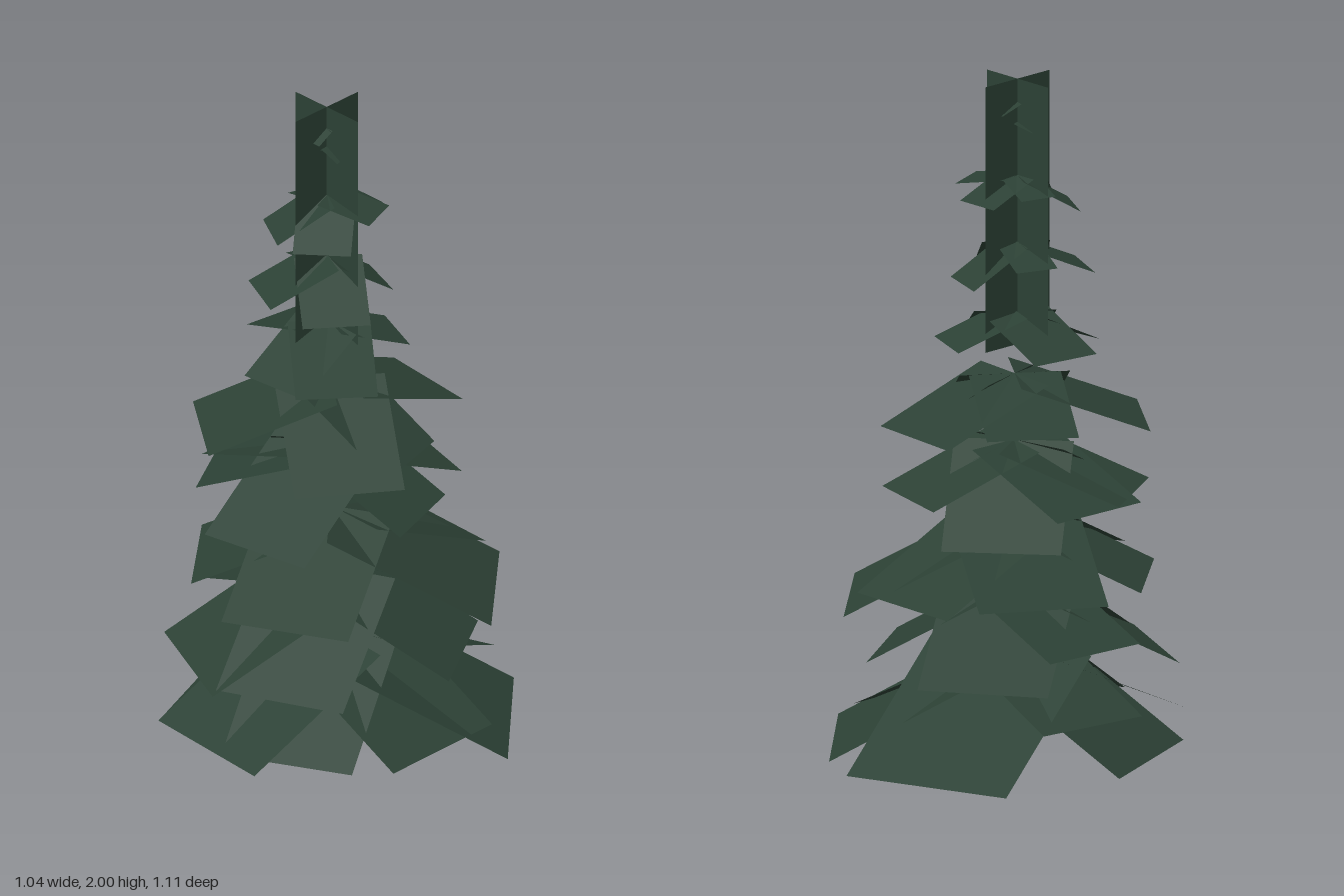
import * as THREE from 'three';

const AXIS_Z = 0.058;

// Each tier: height of the inner edge, then boughs as [heading in degrees from the front, reach, drop]
const TIERS = [
  { y: 0.29, boughs: [[-5, 0.475, 0.23], [27, 0.425, 0.23], [91, 0.443, 0.23], [133, 0.515, 0.29], [200, 0.56, 0.28], [291, 0.445, 0.29], [262, 0.4, 0.15]] },
  { y: 0.49, boughs: [[-25, 0.44, 0.24], [24, 0.42, 0.23], [122, 0.39, 0.23], [214, 0.41, 0.23], [265, 0.38, 0.14]] },
  { y: 0.69, boughs: [[27, 0.43, 0.19], [-50, 0.39, 0.18], [132, 0.475, 0.26], [178, 0.43, 0.2], [238, 0.433, 0.17]] },
  { y: 0.91, boughs: [[10, 0.38, 0.2], [-60, 0.36, 0.13], [108, 0.3, 0.18], [165, 0.35, 0.13], [220, 0.35, 0.24], [268, 0.37, 0.14]] },
  { y: 1.11, boughs: [[-37, 0.375, 0.14], [55, 0.34, 0.2], [105, 0.27, 0.2], [174, 0.367, 0.13], [236, 0.31, 0.11]] },
  { y: 1.3, boughs: [[5, 0.245, 0.12], [50, 0.27, 0.11], [158, 0.215, 0.08], [262, 0.25, 0.09]] },
  { y: 1.51, boughs: [[-25, 0.21, 0.09], [52, 0.21, 0.12], [160, 0.17, 0.11], [250, 0.15, 0.05]] },
  { y: 1.71, boughs: [[-30, 0.17, 0.1], [40, 0.18, 0.1], [110, 0.165, 0.03], [180, 0.16, 0.06], [255, 0.13, 0.04]] },
  { y: 1.93, boughs: [[0, 0.055, 0.03], [160, 0.06, 0.03]] },
  { y: 1.87, boughs: [[-70, 0.06, 0.02], [100, 0.055, 0.03]] },
];

// Flat card hinged on the trunk axis, sloping down and outward
function makeBough(heading, reach, drop, material) {
  const length = Math.hypot(reach, drop);
  const geometry = new THREE.PlaneGeometry(length * 0.82, length);
  geometry.rotateX(-Math.PI / 2);
  geometry.translate(0, 0, length / 2);
  geometry.rotateX(Math.atan2(drop, reach));
  geometry.rotateY(THREE.MathUtils.degToRad(heading));
  const bough = new THREE.Mesh(geometry, material);
  bough.name = 'bough';
  return bough;
}

export function createModel() {
  const tree = new THREE.Group();
  tree.name = 'coniferTree';
  const needles = new THREE.MeshStandardMaterial({ color: 0x2c4135, side: THREE.DoubleSide });
  needles.name = 'darkGreenNeedles';

  // Tiers of drooping boughs around a slightly leaning axis
  TIERS.forEach(({ y, boughs }) => {
    const tier = new THREE.Group();
    tier.name = 'boughTier';
    tier.position.set(-0.02 - 0.015 * y, y, AXIS_Z);
    boughs.forEach(([heading, reach, drop]) => tier.add(makeBough(heading, reach, drop, needles)));
    tree.add(tier);
  });

  // Two crossed upright cards forming the crown
  const crown = new THREE.Group();
  crown.name = 'crown';
  for (const turn of [0, Math.PI / 2]) {
    const card = new THREE.Mesh(new THREE.PlaneGeometry(0.255, 0.8), needles);
    card.name = 'crownCard';
    card.position.set(-0.048, 1.6, AXIS_Z);
    card.rotation.y = turn;
    crown.add(card);
  }
  tree.add(crown);
  return tree;
}
